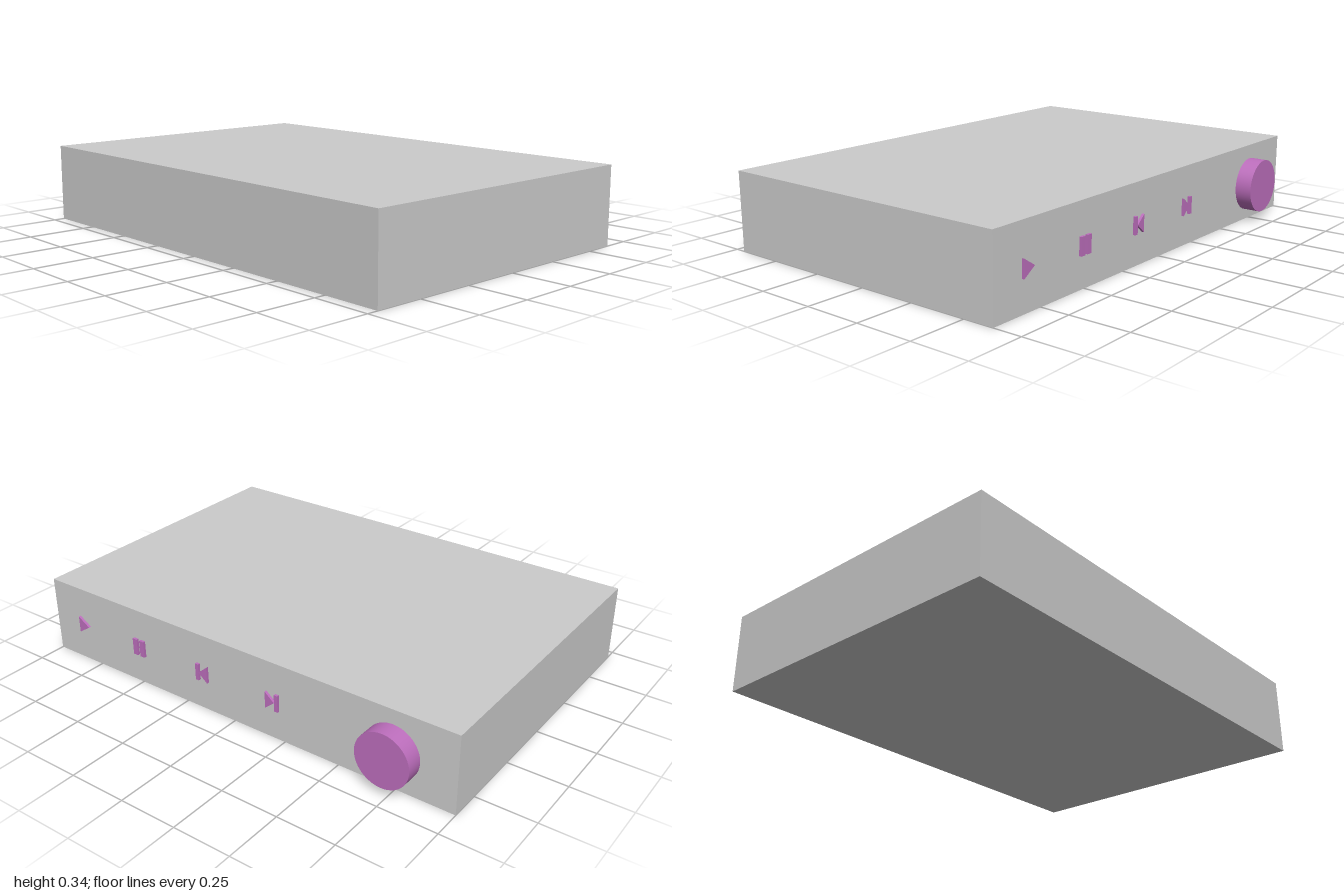
import * as THREE from 'three';

const BODY_RIGHT = 0.63;
const LOW = 0.13, HIGH = 0.203, MID = (LOW + HIGH) / 2;

// Outlines on the control face; u runs from the front to the back (u = -z)
const polygon = (...points) => new THREE.Shape(points.map(([u, y]) => new THREE.Vector2(u, y)));
const bar = (u0, u1) => polygon([u0, LOW], [u1, LOW], [u1, HIGH], [u0, HIGH]);
const arrow = (base, tip) => polygon([base, LOW], [tip, MID], [base, HIGH]);

export function createModel() {
  const model = new THREE.Group();
  const grey = new THREE.MeshStandardMaterial({ color: 0xcccccc });
  const purple = new THREE.MeshStandardMaterial({ color: 0xbd6ebd });

  const add = (name, geometry, material) => {
    const mesh = new THREE.Mesh(geometry, material);
    mesh.name = name;
    model.add(mesh);
    return mesh;
  };

  // Plain box housing
  add('housing', new THREE.BoxGeometry(1.334, 0.335, 2), grey)
    .position.set(BODY_RIGHT - 0.667, 0.1675, 0);

  // Round dial on the control face
  const dial = add('dial', new THREE.CylinderGeometry(0.115, 0.115, 0.074, 64), purple);
  dial.rotation.z = -Math.PI / 2;
  dial.position.set(BODY_RIGHT + 0.035, 0.159, -0.733);

  // Raised button symbols
  const buttons = {
    playButton: [arrow(-0.853, -0.796)],
    pauseButton: [bar(-0.532, -0.509), bar(-0.495, -0.472)],
    previousButton: [bar(-0.188, -0.172), arrow(-0.129, -0.172)],
    nextButton: [arrow(0.165, 0.209), bar(0.209, 0.225)],
  };
  for (const [name, shapes] of Object.entries(buttons)) {
    const geometry = new THREE.ExtrudeGeometry(shapes, { depth: 0.015, bevelEnabled: false });
    geometry.rotateY(Math.PI / 2);
    add(name, geometry, purple).position.x = BODY_RIGHT - 0.004;
  }
  return model;
}
